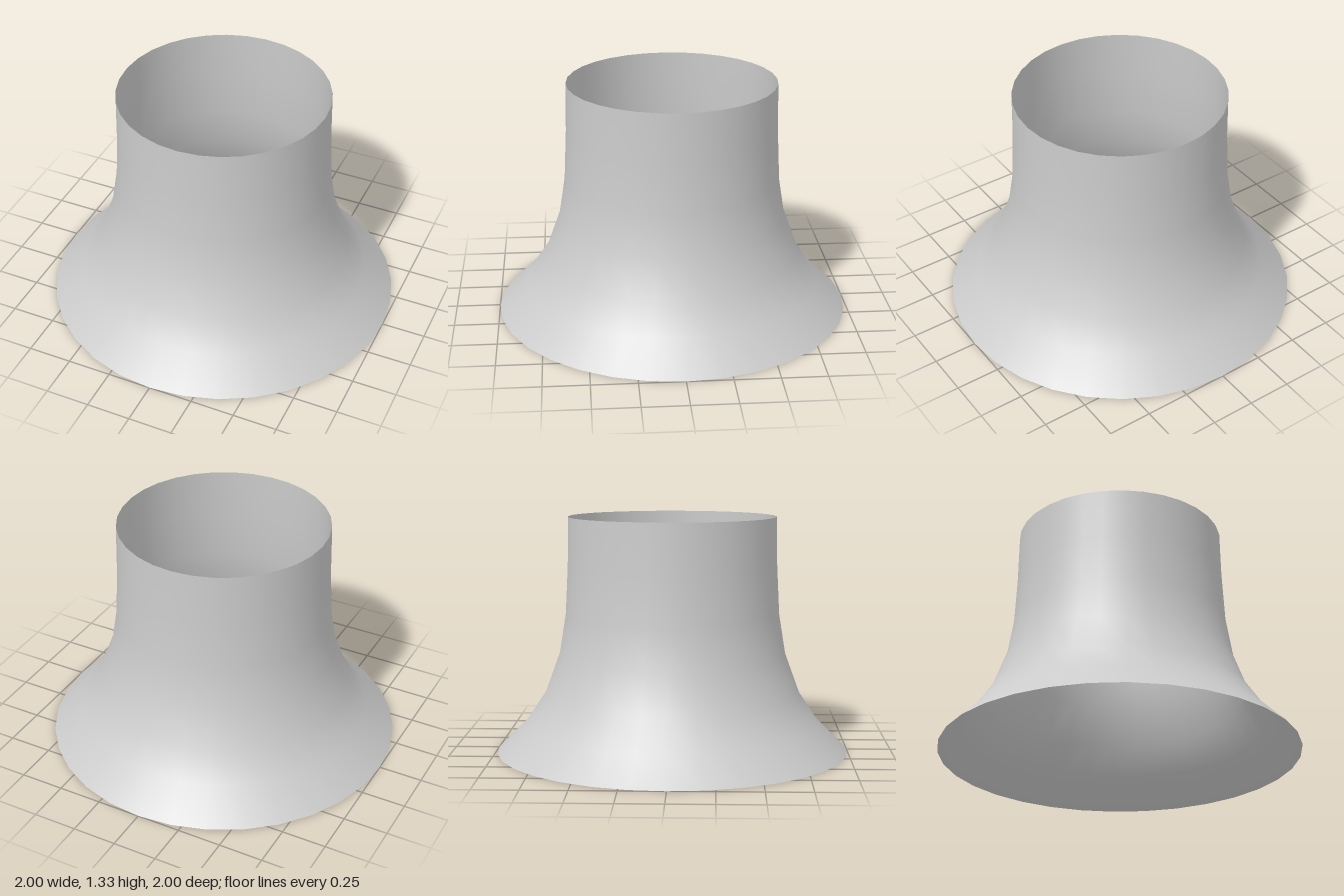
import * as THREE from 'three';

export function createModel() {
  const model = new THREE.Group();

  // Radius and height of the thin open wall, from flared foot to straight neck
  const profile = [
    [1, 0], [0.835, 0.165], [0.725, 0.33], [0.643, 0.555],
    [0.607, 0.78], [0.593, 1.06], [0.588, 1.333],
  ].map(([r, y]) => new THREE.Vector2(r, y));

  const flaredSleeve = new THREE.Mesh(
    new THREE.LatheGeometry(profile, 32),
    new THREE.MeshStandardMaterial({ color: 0xcccccc, side: THREE.DoubleSide }),
  );
  flaredSleeve.name = 'flaredSleeve';
  model.add(flaredSleeve);

  return model;
}
